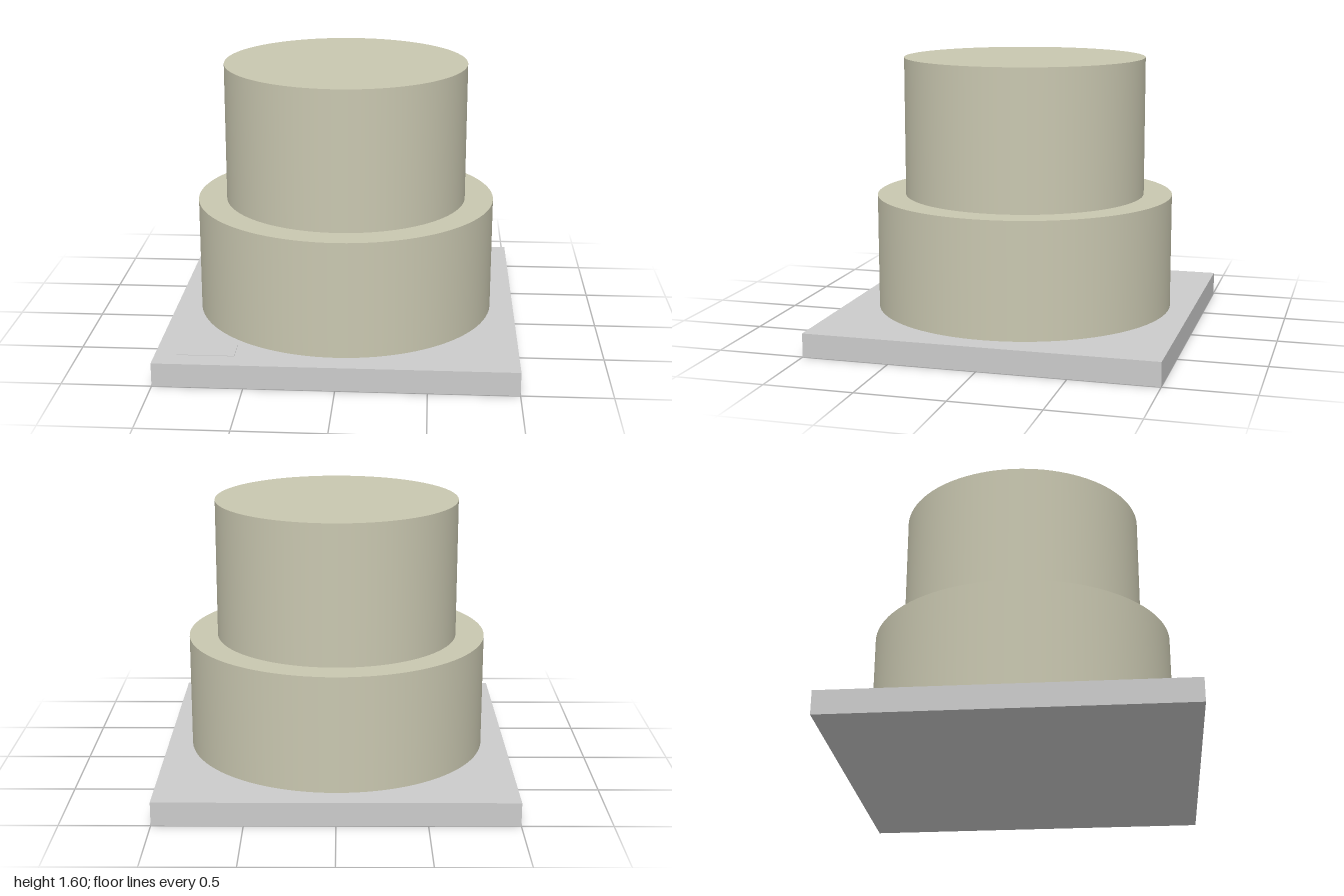
import * as THREE from 'three';

const BOARD_TOP = 0.135;

export function createModel() {
  const model = new THREE.Group();
  model.name = 'tieredCake';

  const boardMaterial = new THREE.MeshStandardMaterial({ color: 0xcccccc });
  const icingMaterial = new THREE.MeshStandardMaterial({ color: 0xc9c7b0 });

  const addPart = (name, geometry, material, x, y, z) => {
    const mesh = new THREE.Mesh(geometry, material);
    mesh.name = name;
    mesh.position.set(x, y, z);
    model.add(mesh);
  };

  // Square board
  addPart('board', new THREE.BoxGeometry(2, BOARD_TOP, 2), boardMaterial, 0, BOARD_TOP / 2, 0);

  // Round tiers, stacked
  const tiers = [
    { name: 'lowerTier', radius: 0.865, bottom: BOARD_TOP, top: 0.8 },
    { name: 'upperTier', radius: 0.7, bottom: 0.8, top: 1.6 },
  ];
  for (const { name, radius, bottom, top } of tiers) {
    const geometry = new THREE.CylinderGeometry(radius, radius, top - bottom, 96);
    addPart(name, geometry, icingMaterial, 0, (bottom + top) / 2, 0);
  }

  // Thin blank plaque on the board's front corner
  addPart('plaque', new THREE.BoxGeometry(0.32, 0.004, 0.16), boardMaterial, -0.72, BOARD_TOP + 0.001, 0.8);

  return model;
}
